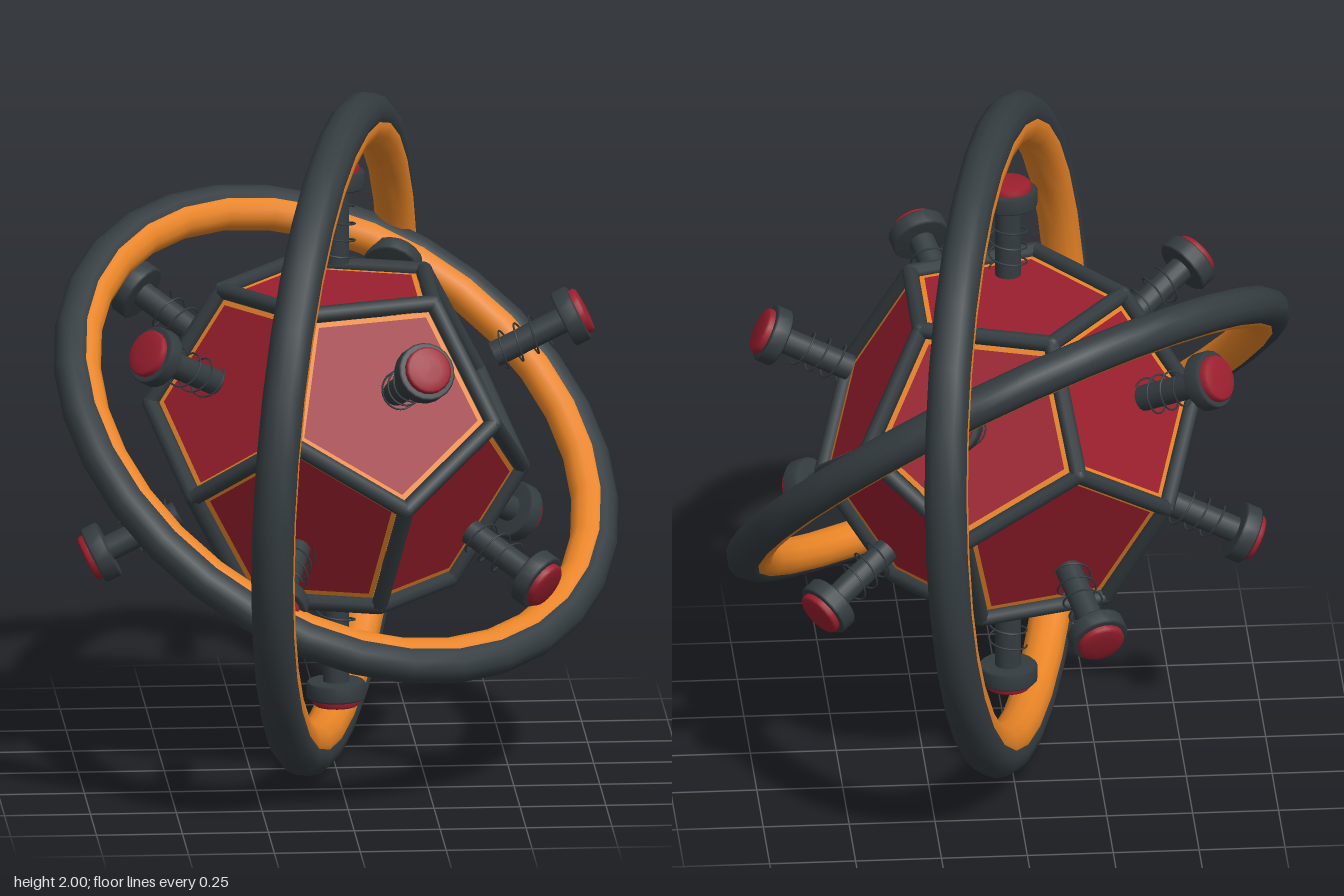
import * as THREE from 'three';

const UP = new THREE.Vector3(0, 1, 0);
const R = 0.55; // circumradius of the cage

const polar = (radius, y, deg) => {
  const a = THREE.MathUtils.degToRad(deg);
  return new THREE.Vector3(radius * Math.cos(a), y, radius * Math.sin(a));
};
const lathe = points => new THREE.LatheGeometry(points.map(p => new THREE.Vector2(...p)), 20);

export function createModel() {
  const dark = new THREE.MeshStandardMaterial({ color: 0x343c40 });
  const orange = new THREE.MeshStandardMaterial({ color: 0xe88426 });
  const red = new THREE.MeshStandardMaterial({ color: 0x9b1f2e });

  const model = new THREE.Group();
  model.name = 'ringedDodecahedron';
  const add = (parent, name, geometry, material) => {
    const mesh = new THREE.Mesh(geometry, material);
    mesh.name = name;
    parent.add(mesh);
    return mesh;
  };

  // Corners and face directions of a dodecahedron lying on a face
  const corners = [];
  const normals = [UP.clone(), UP.clone().negate()];
  for (let k = 0; k < 5; k++) {
    for (const [radius, y] of [[0.607, 0.7947], [0.9822, 0.1876]]) {
      const v = polar(radius * R, y * R, 180 + 72 * k);
      corners.push(v, v.clone().negate());
    }
    const n = polar(2 / Math.sqrt(5), 1 / Math.sqrt(5), 72 * k);
    normals.push(n, n.clone().negate());
  }

  const core = new THREE.Group();
  core.name = 'core';
  model.add(core);

  // Cage of round bars with ball joints
  const cage = new THREE.Group();
  cage.name = 'cage';
  core.add(cage);
  const joint = new THREE.SphereGeometry(0.024, 10, 8);
  corners.forEach((a, i) => {
    add(cage, 'cageJoint', joint, dark).position.copy(a);
    corners.slice(i + 1).forEach(b => {
      const length = a.distanceTo(b);
      if (length > 0.75 * R) return;
      const bar = add(cage, 'cageBar', new THREE.CylinderGeometry(0.024, 0.024, length, 8), dark);
      bar.position.copy(a).add(b).multiplyScalar(0.5);
      bar.quaternion.setFromUnitVectors(UP, b.clone().sub(a).normalize());
    });
  });

  // Plunger shapes, along +y and measured from the centre of the core
  const shaft = new THREE.CylinderGeometry(0.038, 0.038, 0.24, 16);
  const cap = lathe([[0, 0.738], [0.08, 0.738], [0.086, 0.744], [0.086, 0.784], [0.08, 0.79], [0, 0.79]]);
  const button = lathe([[0.069, 0.785], [0.069, 0.803], [0.062, 0.81], [0.035, 0.813], [0, 0.814]]);
  const coil = [];
  for (let i = 0; i <= 36; i++) coil.push(polar(0.055, 0.53 + 0.15 * i / 36, i * 30));
  const spring = new THREE.TubeGeometry(new THREE.CatmullRomCurve3(coil), 72, 0.003, 5);

  // Pentagon panel with its orange border
  const panelRadius = 0.607 * R * 0.855;
  const panelShape = new THREE.CircleGeometry(panelRadius, 5);
  const borderShape = new THREE.RingGeometry(panelRadius, 0.607 * R * 0.91, 5, 1);

  // One framed panel and one plunger per face
  for (const n of normals) {
    const face = new THREE.Group();
    face.name = 'face';
    const centre = n.clone().multiplyScalar(0.7947 * R * 0.985);
    const toCorner = corners.find(v => v.dot(n) > 0.75 * R).clone().projectOnPlane(n).normalize();
    face.quaternion.setFromRotationMatrix(
      new THREE.Matrix4().makeBasis(toCorner, n.clone().cross(toCorner), n));
    face.position.copy(centre);
    add(face, 'panel', panelShape, red);
    add(face, 'panelBorder', borderShape, orange);
    core.add(face);

    const plunger = new THREE.Group();
    plunger.name = 'plunger';
    plunger.quaternion.setFromUnitVectors(UP, n);
    add(plunger, 'plungerShaft', shaft, dark).position.y = 0.635;
    add(plunger, 'plungerCap', cap, dark);
    add(plunger, 'plungerButton', button, red);
    add(plunger, 'plungerSpring', spring, dark);
    core.add(plunger);
  }

  // Tilted rings, dark outside with an orange lining
  const addRing = (name, axis, scale) => {
    const ring = new THREE.Group();
    ring.name = name;
    ring.quaternion.setFromUnitVectors(new THREE.Vector3(0, 0, 1), axis.normalize());
    ring.scale.setScalar(scale);
    add(ring, 'ringShell', new THREE.TorusGeometry(0.939, 0.062, 12, 32), dark);
    add(ring, 'ringLining', new THREE.TorusGeometry(0.905, 0.06, 12, 32), orange);
    model.add(ring);
  };
  addRing('uprightRing', new THREE.Vector3(0.965, -0.05, 0.26), 1);
  addRing('slantedRing', new THREE.Vector3(0.386, 0.753, 0.533), 0.9);

  model.children.forEach(part => { part.position.y = 1; });
  return model;
}
